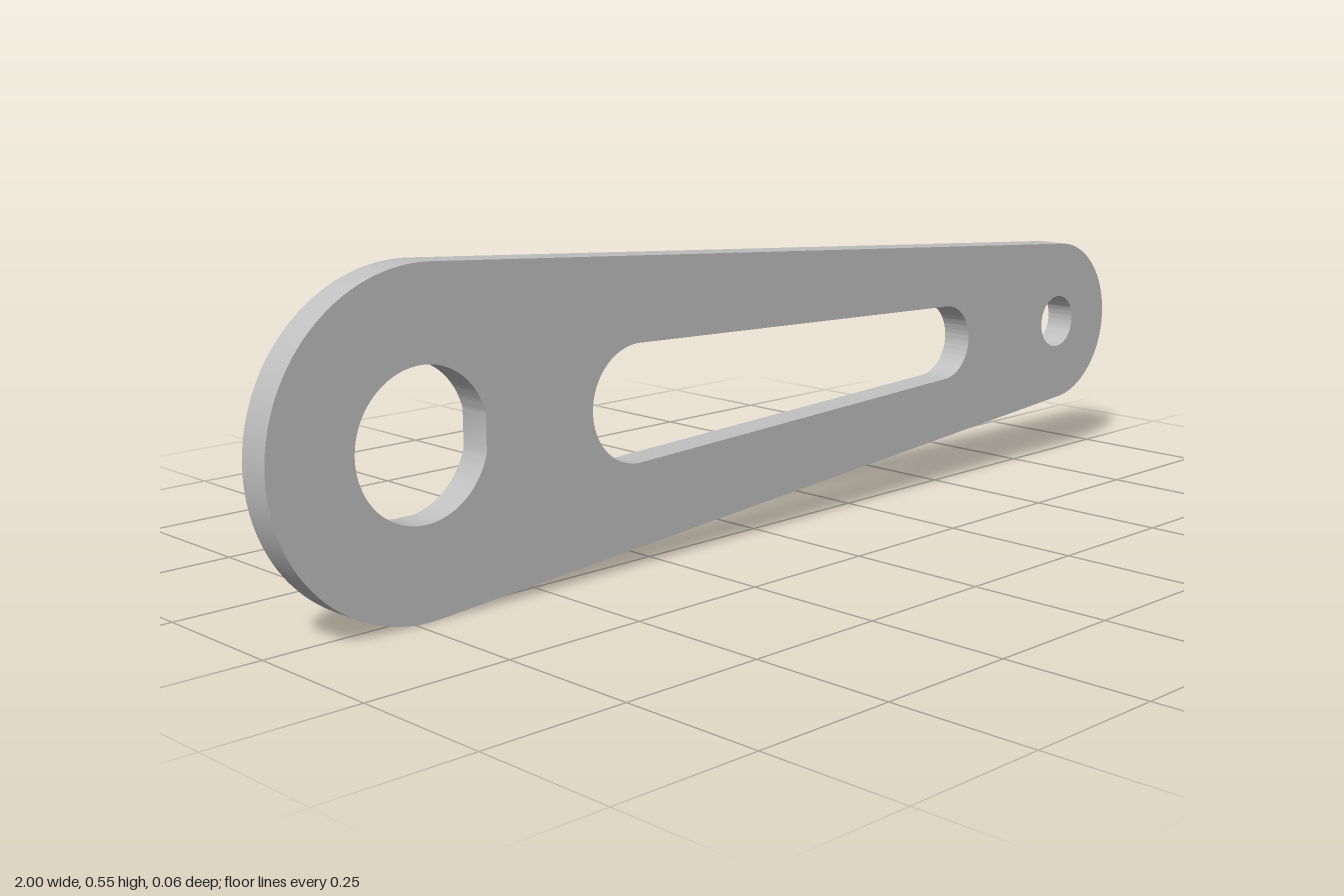
import * as THREE from 'three';
import { toCreasedNormals } from 'three/addons/utils/BufferGeometryUtils.js';

const MID = 0.275; // height of the long axis
const DEPTH = 0.058;

// Two circles on the long axis joined by their outer tangents
function taperedLoop(path, x1, r1, x2, r2) {
  const a = Math.PI / 2 - Math.asin((r1 - r2) / (x2 - x1));
  path.absarc(x1, MID, r1, a, 2 * Math.PI - a, false);
  path.absarc(x2, MID, r2, -a, a, false);
  path.closePath();
  return path;
}

export function createModel() {
  const group = new THREE.Group();
  group.name = 'leverArm';
  const steel = new THREE.MeshStandardMaterial({ color: 0xc0c0c0 });
  steel.name = 'grey steel';

  // Tapered outline
  const plate = taperedLoop(new THREE.Shape(), -0.725, 0.275, 0.843, 0.157);

  // D-shaped shaft hole, flat on the side facing the slot
  const boreX = -0.728, boreR = 0.122;
  const flat = Math.acos((-0.61 - boreX) / boreR);
  const bore = new THREE.Path();
  bore.absarc(boreX, MID, boreR, flat, 2 * Math.PI - flat, false);
  bore.closePath();

  // Tapered lightening slot and small pin hole
  const slot = taperedLoop(new THREE.Path(), -0.295, 0.1, 0.49, 0.07);
  const pinHole = new THREE.Path();
  pinHole.absarc(0.843, MID, 0.051, 0, Math.PI * 2, false);
  plate.holes.push(bore, slot, pinHole);

  const geometry = new THREE.ExtrudeGeometry(plate, {
    depth: DEPTH, bevelEnabled: false, curveSegments: 48,
  });
  geometry.translate(0, 0, -DEPTH / 2);

  const arm = new THREE.Mesh(toCreasedNormals(geometry, 0.4), steel);
  arm.name = 'armPlate';
  group.add(arm);
  return group;
}
